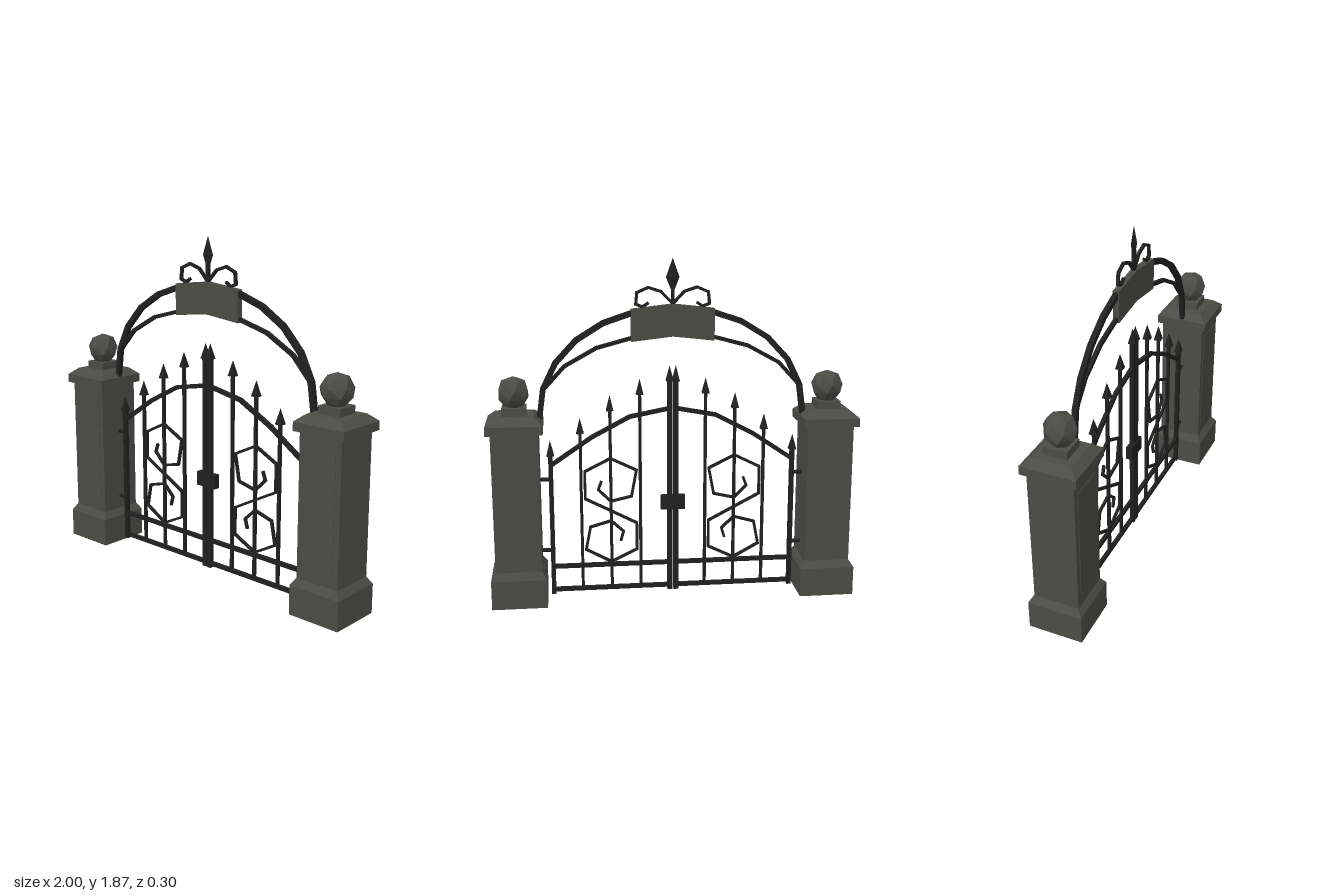
import * as THREE from 'three';

const stone = new THREE.MeshStandardMaterial({ color: 0x4c4c46 });
stone.name = 'stone';
const iron = new THREE.MeshStandardMaterial({ color: 0x202020 });
iron.name = 'iron';

function add(parent, name, geometry, material, x = 0, y = 0, z = 0) {
  const mesh = new THREE.Mesh(geometry, material);
  mesh.name = name;
  mesh.position.set(x, y, z);
  parent.add(mesh);
  return mesh;
}

// Faceted copy of a geometry
function facet(geometry) {
  const flat = geometry.toNonIndexed();
  flat.computeVertexNormals();
  return flat;
}

// Square-plan solid from [half width, height] pairs
function squareTurned(profile) {
  const pts = profile.map(([r, y]) => new THREE.Vector2(r * Math.SQRT2, y));
  return facet(new THREE.LatheGeometry(pts, 4, Math.PI / 4));
}

// Mitred flat bar following a polyline in the xy plane
function bentBar(points, width, depth) {
  const p = points.map(([x, y]) => new THREE.Vector2(x, y));
  const left = [], right = [];
  p.forEach((q, i) => {
    const a = p[Math.max(i - 1, 0)], b = p[Math.min(i + 1, p.length - 1)];
    const d1 = (i ? q.clone().sub(a) : b.clone().sub(q)).normalize();
    const d2 = (i < p.length - 1 ? b.clone().sub(q) : q.clone().sub(a)).normalize();
    const n1 = new THREE.Vector2(-d1.y, d1.x), n2 = new THREE.Vector2(-d2.y, d2.x);
    const m = n1.clone().add(n2).normalize();
    m.multiplyScalar(width / 2 / Math.max(m.dot(n1), 0.4));
    left.push(q.clone().add(m));
    right.unshift(q.clone().sub(m));
  });
  const geo = new THREE.ExtrudeGeometry(new THREE.Shape([...left, ...right]), { depth, bevelEnabled: false });
  return geo.translate(0, 0, -depth / 2);
}

// Six-sided ball whose rings turn as they rise
function twistedBall() {
  const rings = [[0, -0.088], [0.048, -0.074], [0.082, -0.03], [0.086, 0.015], [0.062, 0.066], [0, 0.088]];
  const geo = new THREE.LatheGeometry(rings.map(([r, y]) => new THREE.Vector2(r, y)), 6);
  const pos = geo.attributes.position;
  for (let i = 0; i < pos.count; i++) {
    const v = new THREE.Vector3().fromBufferAttribute(pos, i);
    v.applyAxisAngle(new THREE.Vector3(0, 1, 0), v.y * 7);
    pos.setXYZ(i, v.x, v.y, v.z);
  }
  return facet(geo);
}

function makePillar(s) {
  const g = new THREE.Group();
  g.name = s > 0 ? 'leftPillar' : 'rightPillar';
  g.position.x = 0.849 * s;
  add(g, 'shaft', squareTurned([[0, 0], [0.15, 0], [0.15, 0.16], [0.125, 0.2], [0.125, 0.98]]), stone);
  add(g, 'cap', squareTurned([[0, 0.965], [0.15, 0.965], [0.15, 1.012], [0.105, 1.05], [0, 1.05]]), stone);
  add(g, 'plinth', new THREE.BoxGeometry(0.128, 0.05, 0.128), stone, 0, 1.067, 0);
  add(g, 'ball', twistedBall(), stone, 0, 1.167, 0);
  for (const z of [1, -1]) {
    add(g, 'panel', new THREE.BoxGeometry(0.186, 0.628, 0.006), stone, 0, 0.58, 0.125 * z);
  }
  return g;
}

function makeGateLeaf(s) {
  const g = new THREE.Group();
  g.name = s > 0 ? 'leftLeaf' : 'rightLeaf';
  // Uprights: x, foot, tip height, thickness
  const uprights = [
    [0.665, 0.02, 0.9, 0.024], [0.503, 0.04, 1.02, 0.016], [0.341, 0.04, 1.142, 0.016],
    [0.179, 0.04, 1.227, 0.016], [0.017, 0.02, 1.297, 0.026]
  ];
  for (const [x, foot, tip, t] of uprights) {
    const top = tip - 0.08;
    add(g, 'upright', new THREE.BoxGeometry(t, top - foot, t), iron, x * s, (top + foot) / 2, 0);
    add(g, 'spearTip', squareTurned([[0, -0.005], [0.02, 0], [0, 0.085]]), iron, x * s, tip - 0.085, 0);
  }
  // Rails
  for (const y of [0.045, 0.18]) {
    add(g, 'rail', new THREE.BoxGeometry(0.65, 0.022, 0.02), iron, 0.341 * s, y, 0);
  }
  const mirror = pts => pts.map(([x, y]) => [x * s, y]);
  add(g, 'topRail', bentBar(mirror([[0.665, 0.76], [0.44, 0.912], [0.235, 1.02], [0.01, 1.063]]), 0.022, 0.02), iron);
  // Double scroll between the uprights
  const scroll = [
    [0.392, 0.663], [0.41, 0.615], [0.342, 0.546], [0.228, 0.572], [0.2, 0.72], [0.342, 0.79],
    [0.482, 0.72], [0.482, 0.565], [0.342, 0.492], [0.2, 0.417], [0.2, 0.264], [0.342, 0.195],
    [0.482, 0.272], [0.456, 0.402], [0.342, 0.434], [0.274, 0.37], [0.29, 0.316]
  ];
  add(g, 'scroll', bentBar(mirror(scroll), 0.014, 0.014), iron);
  // Hinges into the pillar
  for (const y of [0.277, 0.682]) {
    const hinge = add(g, 'hinge', new THREE.CylinderGeometry(0.011, 0.011, 0.08, 6), iron, 0.7 * s, y, 0);
    hinge.rotation.z = Math.PI / 2;
  }
  return g;
}

function makeArch() {
  const g = new THREE.Group();
  g.name = 'arch';
  const across = half => [...half, ...half.slice(0, -1).reverse().map(([x, y]) => [-x, y])];
  const outer = [[-0.718, 1.01], [-0.694, 1.18], [-0.625, 1.32], [-0.513, 1.44], [-0.37, 1.528], [-0.2, 1.585], [0, 1.608]];
  const inner = [[-0.714, 1.03], [-0.69, 1.18], [-0.578, 1.302], [-0.406, 1.397], [-0.2, 1.452], [0, 1.478]];
  add(g, 'outerArch', bentBar(across(outer), 0.03, 0.026), iron);
  add(g, 'innerArch', bentBar(across(inner), 0.02, 0.02), iron);

  // Blank sign plate
  const plate = new THREE.Shape([[-0.223, 1.428], [0, 1.453], [0.223, 1.428], [0.223, 1.6], [0, 1.625], [-0.223, 1.6]]
    .map(([x, y]) => new THREE.Vector2(x, y)));
  const plateGeo = new THREE.ExtrudeGeometry(plate, { depth: 0.034, bevelEnabled: false }).translate(0, 0, -0.017);
  add(g, 'signPlate', plateGeo, stone);

  // Crest
  add(g, 'crestStem', new THREE.BoxGeometry(0.018, 0.13, 0.018), iron, 0, 1.67, 0);
  const spear = new THREE.LatheGeometry([[0.008, 1.695], [0.036, 1.765], [0, 1.865]].map(a => new THREE.Vector2(...a)), 4);
  add(g, 'crestSpear', facet(spear.scale(1, 1, 0.45)), iron);
  for (const s of [1, -1]) {
    const curl = [[0, 1.625], [0.062, 1.69], [0.13, 1.712], [0.19, 1.686], [0.196, 1.625], [0.16, 1.611], [0.128, 1.632]];
    add(g, 'crestCurl', bentBar(curl.map(([x, y]) => [x * s, y]), 0.015, 0.015), iron);
  }
  return g;
}

export function createModel() {
  const model = new THREE.Group();
  model.name = 'gateway';
  for (const s of [1, -1]) model.add(makePillar(s), makeGateLeaf(s));
  model.add(makeArch());
  add(model, 'lock', new THREE.BoxGeometry(0.134, 0.078, 0.036), iron, 0, 0.532, 0);
  return model;
}
